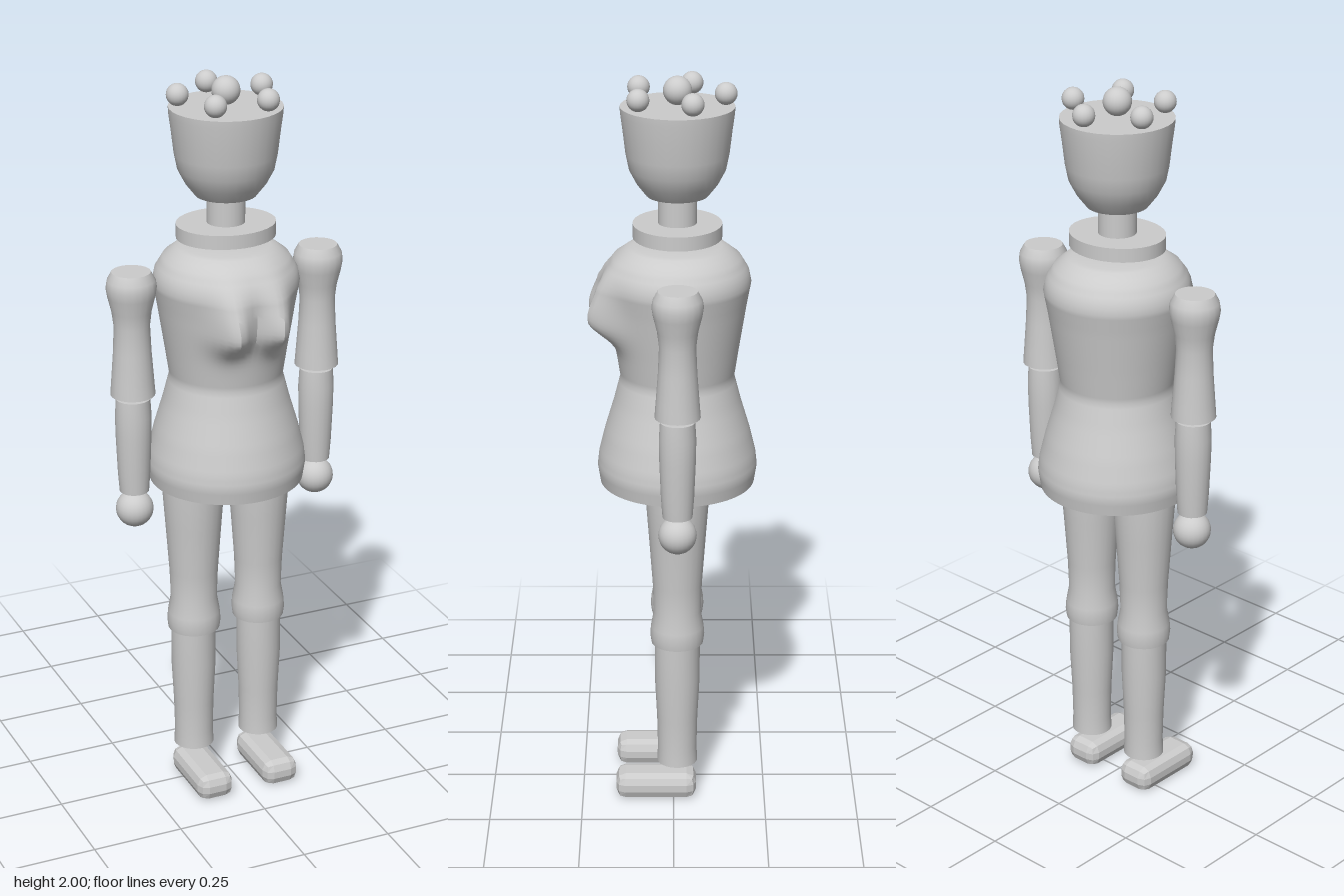
import * as THREE from 'three';
import { mergeVertices, toCreasedNormals } from 'three/addons/utils/BufferGeometryUtils.js';
import { RoundedBoxGeometry } from 'three/addons/geometries/RoundedBoxGeometry.js';

const AXIS_Z = -0.01;
const material = new THREE.MeshStandardMaterial({ color: 0xcccccc });
const flatMaterial = new THREE.MeshStandardMaterial({ color: 0xcccccc, flatShading: true });

// Closed turned piece; profile lists [radius, y] from bottom to top
function turned(profile, segments, deform) {
  const points = [[0, profile[0][1]], ...profile, [0, profile[profile.length - 1][1]]];
  const lathe = new THREE.LatheGeometry(points.map(([r, y]) => new THREE.Vector2(r, y)), segments, Math.PI);
  lathe.deleteAttribute('uv');
  lathe.deleteAttribute('normal');
  if (deform) deform(lathe.attributes.position);
  return toCreasedNormals(mergeVertices(lathe, 1e-5), 0.7);
}

// Adds in-between rings so that a smooth deformation has vertices to move
function subdivide(profile, step) {
  const rings = [];
  for (let i = 0; i < profile.length - 1; i++) {
    const [r0, y0] = profile[i], [r1, y1] = profile[i + 1];
    const n = Math.max(1, Math.round((y1 - y0) / step));
    for (let k = 0; k < n; k++) {
      rings.push([r0 + (r1 - r0) * k / n, y0 + (y1 - y0) * k / n]);
    }
  }
  rings.push(profile[profile.length - 1]);
  return rings;
}

// Pushes two soft swellings out of the front of the chest
function shapeChest(position) {
  for (let i = 0; i < position.count; i++) {
    const x = position.getX(i), y = position.getY(i), z = position.getZ(i);
    if (z <= 0.05) continue;
    const dy = y - 1.365;
    const vertical = Math.exp(-((dy / (dy < 0 ? 0.05 : 0.095)) ** 2));
    const sides = Math.exp(-(((Math.abs(x) - 0.066) / 0.042) ** 2));
    position.setZ(i, z + 0.066 * vertical * sides + 0.012 * vertical * Math.exp(-((x / 0.05) ** 2)));
  }
}

export function createModel() {
  const model = new THREE.Group();
  const add = (name, geometry, x = 0, y = 0, z = AXIS_Z, mat = material) => {
    const mesh = new THREE.Mesh(geometry, mat);
    mesh.name = name;
    mesh.position.set(x, y, z);
    model.add(mesh);
    return mesh;
  };

  // Torso with flared skirt
  const torsoProfile = [
    [0.205, 0.905], [0.212, 0.95], [0.208, 0.985], [0.192, 1.05], [0.168, 1.13], [0.15, 1.2],
    [0.162, 1.28], [0.181, 1.4], [0.192, 1.46], [0.186, 1.49], [0.165, 1.525], [0.13, 1.552], [0.115, 1.556],
  ];
  add('torso', turned(subdivide(torsoProfile, 0.013), 72, shapeChest));

  // Collar, neck and head
  add('collar', new THREE.CylinderGeometry(0.132, 0.132, 0.037, 32), 0, 1.597).scale.z = 0.88;
  add('neck', new THREE.CylinderGeometry(0.05, 0.05, 0.11, 24), 0, 1.655);
  add('head', turned([
    [0.08, 1.69], [0.105, 1.722], [0.125, 1.76], [0.133, 1.8], [0.14, 1.86], [0.146, 1.905], [0.147, 1.923],
  ], 32));

  // Crown of one large and five small balls
  add('crownCentreBall', new THREE.SphereGeometry(0.037, 24, 16), 0, 1.963);
  for (let i = 0; i < 5; i++) {
    const a = i * Math.PI * 2 / 5;
    add('crownBall', new THREE.SphereGeometry(0.029, 20, 14),
      Math.sin(a) * 0.123, 1.955, AXIS_Z - Math.cos(a) * 0.123);
  }

  // Jointed limbs, shared by both sides
  const upperArm = turned([
    [0.059, 1.18], [0.056, 1.22], [0.05, 1.3], [0.047, 1.37], [0.052, 1.41],
    [0.062, 1.45], [0.066, 1.475], [0.063, 1.495], [0.051, 1.517],
  ], 20);
  const forearm = turned([
    [0.039, 0.905], [0.043, 0.96], [0.047, 1.06], [0.048, 1.12], [0.045, 1.168],
  ], 20);
  const thigh = turned([
    [0.07, 0.467], [0.073, 0.49], [0.071, 0.515], [0.063, 0.56], [0.066, 0.64], [0.076, 0.78], [0.085, 0.9], [0.085, 0.95],
  ], 24);
  const calf = turned([
    [0.055, 0.107], [0.053, 0.15], [0.055, 0.24], [0.061, 0.36], [0.061, 0.48],
  ], 24);
  const hand = new THREE.SphereGeometry(0.05, 24, 16);
  const foot = new RoundedBoxGeometry(0.102, 0.072, 0.22, 1, 0.026);

  for (const [side, s] of [['left', 1], ['right', -1]]) {
    add(side + 'UpperArm', upperArm, s * 0.265);
    add(side + 'Forearm', forearm, s * 0.265);
    add(side + 'Hand', hand, s * 0.265, 0.853);
    add(side + 'Thigh', thigh, s * 0.096);
    add(side + 'Calf', calf, s * 0.098);
    add(side + 'Foot', foot, s * 0.098, 0.038, 0.048, flatMaterial);
  }
  return model;
}
